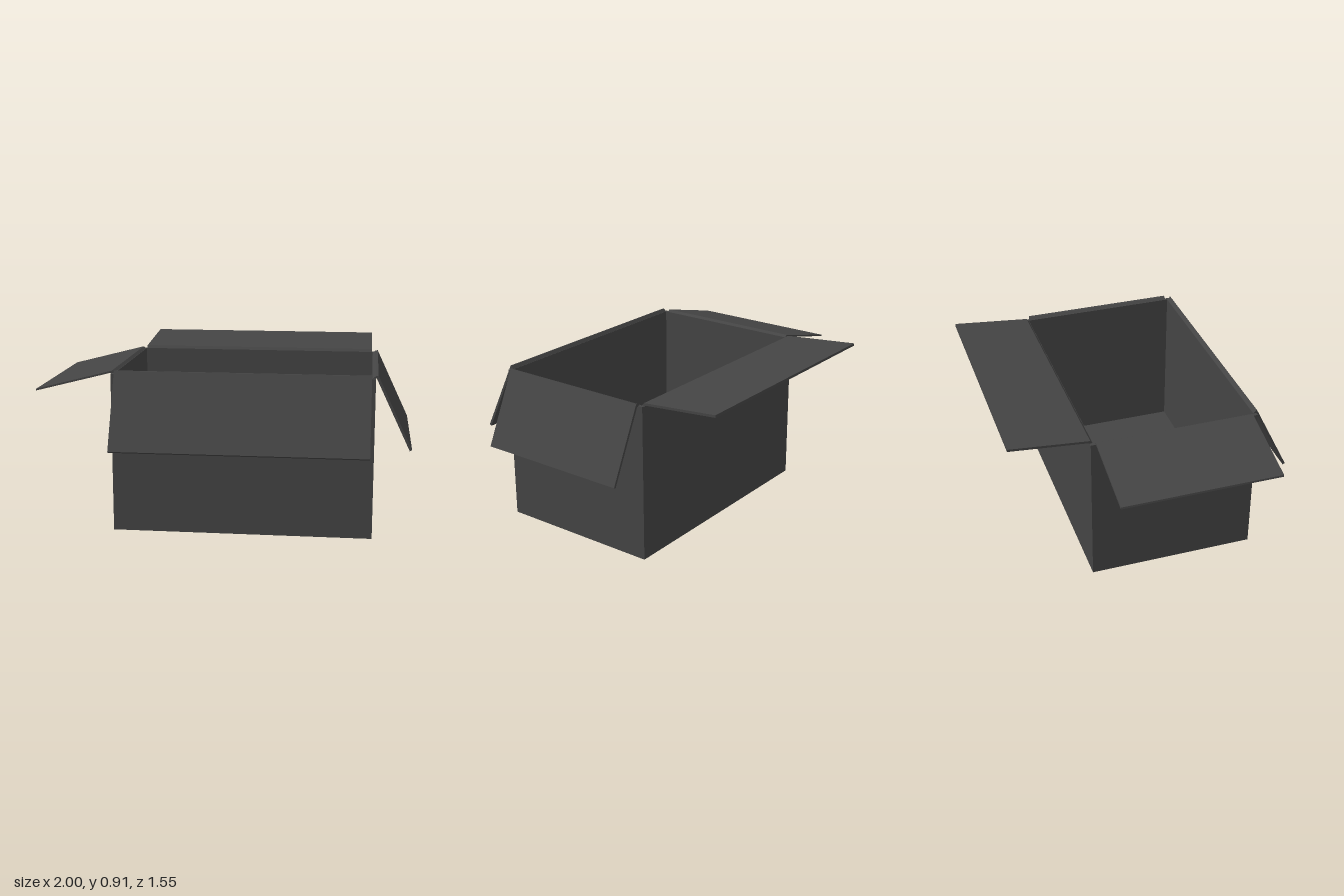
import * as THREE from 'three';

// Box body extents
const X0 = -0.585, X1 = 0.80, Z0 = -0.347, Z1 = 0.575, H = 0.855, T = 0.018;
const CX = (X0 + X1) / 2, CZ = (Z0 + Z1) / 2, W = X1 - X0, D = Z1 - Z0;

export function createModel() {
  const model = new THREE.Group();
  model.name = 'openCardboardBox';
  const card = new THREE.MeshStandardMaterial({ color: 0x444444 });

  const add = (name, geometry, x, y, z, turn = 0) => {
    const mesh = new THREE.Mesh(geometry, card);
    mesh.name = name;
    mesh.position.set(x, y, z);
    mesh.rotation.y = turn;
    model.add(mesh);
  };

  // Floor and four walls
  add('floor', new THREE.BoxGeometry(W, T, D), CX, T / 2, CZ);
  const wallH = H - T, wallY = T + wallH / 2;
  add('frontWall', new THREE.BoxGeometry(W, wallH, T), CX, wallY, Z1 - T / 2);
  add('backWall', new THREE.BoxGeometry(W, wallH, T), CX, wallY, Z0 + T / 2);
  add('leftWall', new THREE.BoxGeometry(T, wallH, D - 2 * T), X1 - T / 2, wallY, CZ);
  add('rightWall', new THREE.BoxGeometry(T, wallH, D - 2 * T), X0 + T / 2, wallY, CZ);

  // Flap: folded section (distance out from the wall, height) swept along the edge
  const flap = (name, section, length, x, z, turn) => {
    const shape = new THREE.Shape(section.map(([u, v]) => new THREE.Vector2(u, v)));
    const geometry = new THREE.ExtrudeGeometry(shape, { depth: length, bevelEnabled: false });
    geometry.translate(0, 0, -length / 2);
    add(name, geometry, x, 0, z, turn);
  };
  const longFlap = 1.345, shortFlap = 0.865, midZ = 0.113;

  flap('frontFlap',
    [[-T, H - 0.002], [-0.002, 0.873], [0.003, 0.872], [0.198, 0.482], [0.187, 0.474], [0, 0.848]],
    longFlap, CX, Z1, -Math.PI / 2);
  flap('backFlap',
    [[-T, H - 0.002], [-0.004, 0.87], [0.427, 0.909], [0.428, 0.896], [0.004, 0.858], [0, 0.85]],
    longFlap, CX, Z0, Math.PI / 2);
  flap('leftFlap',
    [[-T, H - 0.002], [0, 0.866], [0.013, 0.868], [0.196, 0.48], [0.184, 0.474], [0.003, 0.856], [0, 0.85]],
    shortFlap, X1, midZ, 0);
  flap('rightFlap',
    [[-T, H - 0.002], [0, 0.866], [0.413, 0.76], [0.415, 0.75], [0.004, 0.855], [0, 0.85]],
    shortFlap, X0, midZ, Math.PI);

  return model;
}
